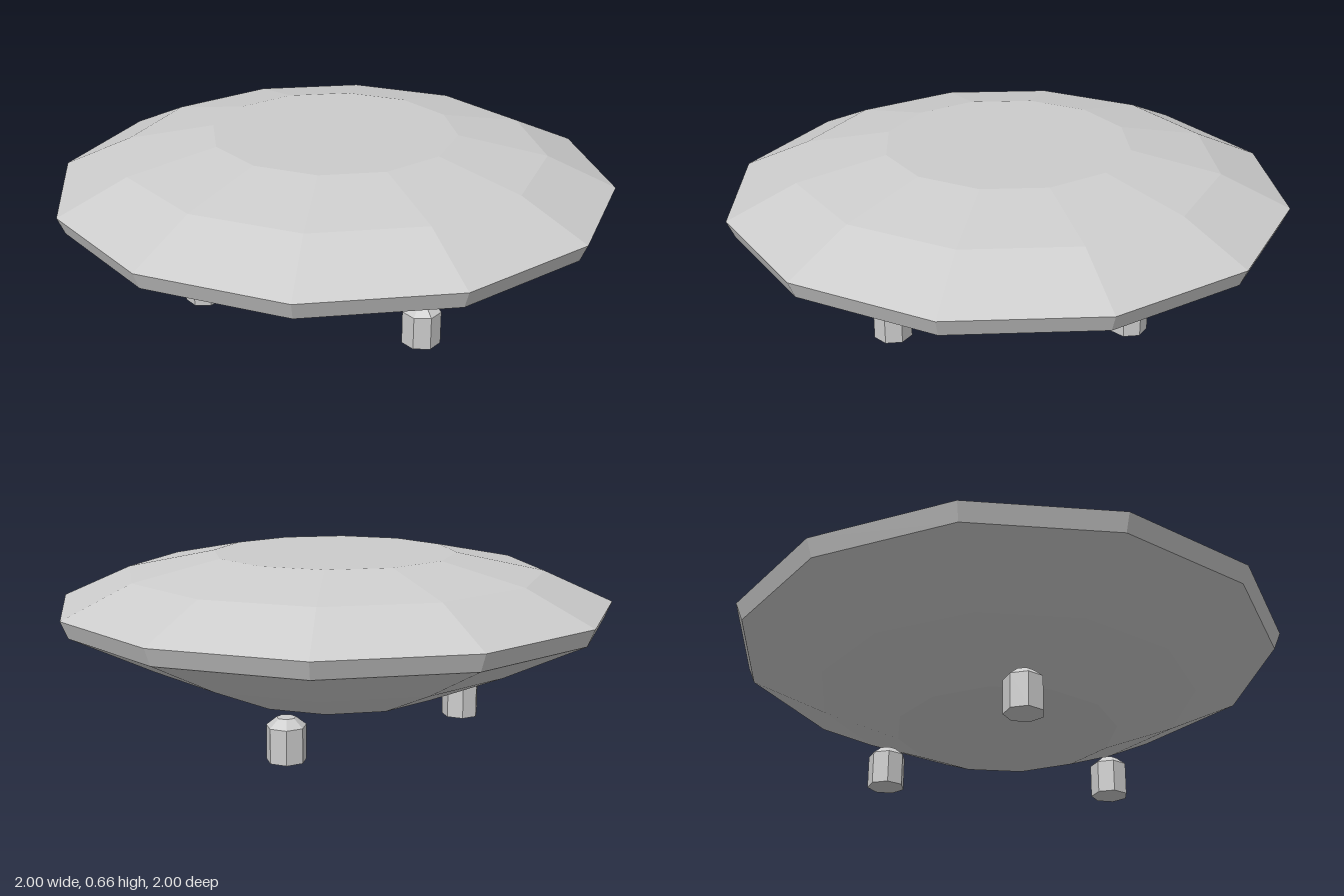
import * as THREE from 'three';

// Faceted solid of revolution from [radius, height] pairs, listed bottom to top
function faceted(name, profile, sides, startAngle, material) {
  const points = profile.map(([r, y]) => new THREE.Vector2(r, y));
  const mesh = new THREE.Mesh(new THREE.LatheGeometry(points, sides, startAngle), material);
  mesh.name = name;
  return mesh;
}

export function createModel() {
  const model = new THREE.Group();
  model.name = 'saucer';
  const grey = new THREE.MeshStandardMaterial({ color: 0xcccccc, flatShading: true });
  grey.name = 'light grey';

  // Twelve-sided hull, turned so that flat sides face the axes
  const k = 1 / Math.cos(Math.PI / 12);
  const hull = [
    [0, 0.12], [0.4, 0.143], [0.685, 0.27], [0.975, 0.42],
    [1, 0.482], [0.755, 0.595], [0.44, 0.66], [0, 0.66],
  ].map(([r, y]) => [r * k, y]);
  model.add(faceted('hull', hull, 12, Math.PI / 12, grey));

  // Three landing feet with bevelled tops
  const foot = [[0, 0], [0.071, 0], [0.071, 0.124], [0.034, 0.154], [0, 0.154]];
  for (let i = 0; i < 3; i++) {
    const angle = (i * Math.PI * 2) / 3;
    const mesh = faceted('landingFoot' + (i + 1), foot, 7, Math.PI, grey);
    mesh.position.set(0.505 * Math.cos(angle), 0, 0.505 * Math.sin(angle));
    model.add(mesh);
  }
  return model;
}
